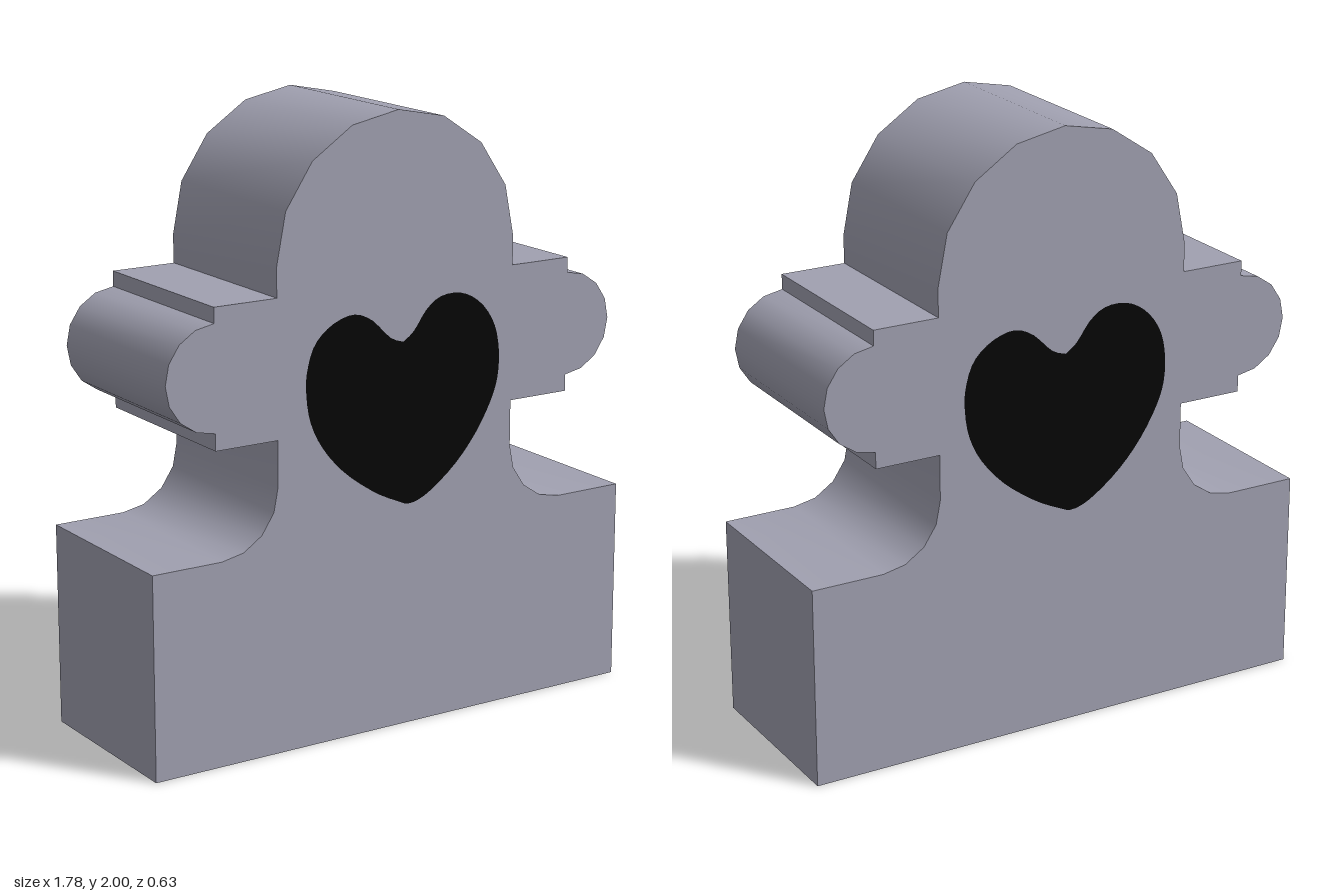
import * as THREE from 'three';
import { toCreasedNormals } from 'three/addons/utils/BufferGeometryUtils.js';

const HALF_DEPTH = 0.31;

// Points along an arc, angles in degrees
function arc(cx, cy, r, from, to, steps) {
  return Array.from({ length: steps + 1 }, (_, i) => {
    const a = THREE.MathUtils.degToRad(from + (to - from) * i / steps);
    return new THREE.Vector2(cx + r * Math.cos(a), cy + r * Math.sin(a));
  });
}

// Half outline on +x, from the bottom corner up to the crown
function halfOutline() {
  const v = (x, y) => new THREE.Vector2(x, y);
  return [
    v(0.888, 0), v(0.888, 0.667),
    ...arc(0.645, 0.87, 0.203, 270, 180, 4), // shoulder fillet
    v(0.442, 1.02), v(0.663, 1.02), // arm block
    ...arc(0.663, 1.245, 0.17, -90, 90, 8), // rounded arm end
    v(0.663, 1.465), v(0.442, 1.465),
    ...arc(0, 1.557, 0.443, 0, 90, 4), // half of the dome
  ];
}

// Solid outline pulled along z, left open underneath
function bodyGeometry() {
  const right = halfOutline();
  const left = right.slice(0, -1).reverse().map(p => new THREE.Vector2(-p.x, p.y));
  const solid = new THREE.ExtrudeGeometry(new THREE.Shape([...right, ...left]), {
    depth: 2 * HALF_DEPTH, bevelEnabled: false,
  });
  solid.translate(0, 0, -HALF_DEPTH);
  const p = solid.attributes.position;
  const kept = [];
  for (let i = 0; i < p.count; i += 3) {
    if (Math.max(p.getY(i), p.getY(i + 1), p.getY(i + 2)) < 0.001) continue;
    for (let k = i; k < i + 3; k++) kept.push(p.getX(k), p.getY(k), p.getZ(k));
  }
  const open = new THREE.BufferGeometry();
  open.setAttribute('position', new THREE.Float32BufferAttribute(kept, 3));
  return toCreasedNormals(open, 0.6);
}

// Slightly uneven hand-drawn heart
function heartGeometry() {
  const pts = [
    [0.02, 1.27], [0.06, 1.3], [0.11, 1.365], [0.17, 1.4], [0.25, 1.397], [0.32, 1.355],
    [0.37, 1.285], [0.39, 1.2], [0.387, 1.11], [0.36, 1.03], [0.3, 0.93], [0.22, 0.84],
    [0.12, 0.765], [0.05, 0.74], [0, 0.755], [-0.09, 0.8], [-0.2, 0.88], [-0.28, 0.97],
    [-0.325, 1.06], [-0.34, 1.15], [-0.337, 1.22], [-0.31, 1.3], [-0.25, 1.355],
    [-0.17, 1.38], [-0.1, 1.355], [-0.03, 1.29], [0.02, 1.27],
  ].map(([x, y]) => new THREE.Vector2(x, y));
  const shape = new THREE.Shape();
  shape.moveTo(pts[0].x, pts[0].y);
  shape.splineThru(pts.slice(1));
  return new THREE.ShapeGeometry(shape, 3);
}

export function createModel() {
  const grey = new THREE.MeshStandardMaterial({ color: 0xa0a0b0, side: THREE.DoubleSide });
  grey.name = 'grey';
  const black = new THREE.MeshStandardMaterial({ color: 0x050505 });
  black.name = 'black';

  const model = new THREE.Group();
  model.name = 'heartFigure';

  const body = new THREE.Mesh(bodyGeometry(), grey);
  body.name = 'body';
  model.add(body);

  // One heart on each face
  const heart = heartGeometry();
  const frontHeart = new THREE.Mesh(heart, black);
  frontHeart.name = 'frontHeart';
  frontHeart.position.z = HALF_DEPTH + 0.003;
  const backHeart = new THREE.Mesh(heart, black);
  backHeart.name = 'backHeart';
  backHeart.rotation.y = Math.PI;
  backHeart.position.set(0.015, 0, -HALF_DEPTH - 0.003);
  model.add(frontHeart, backHeart);

  return model;
}
